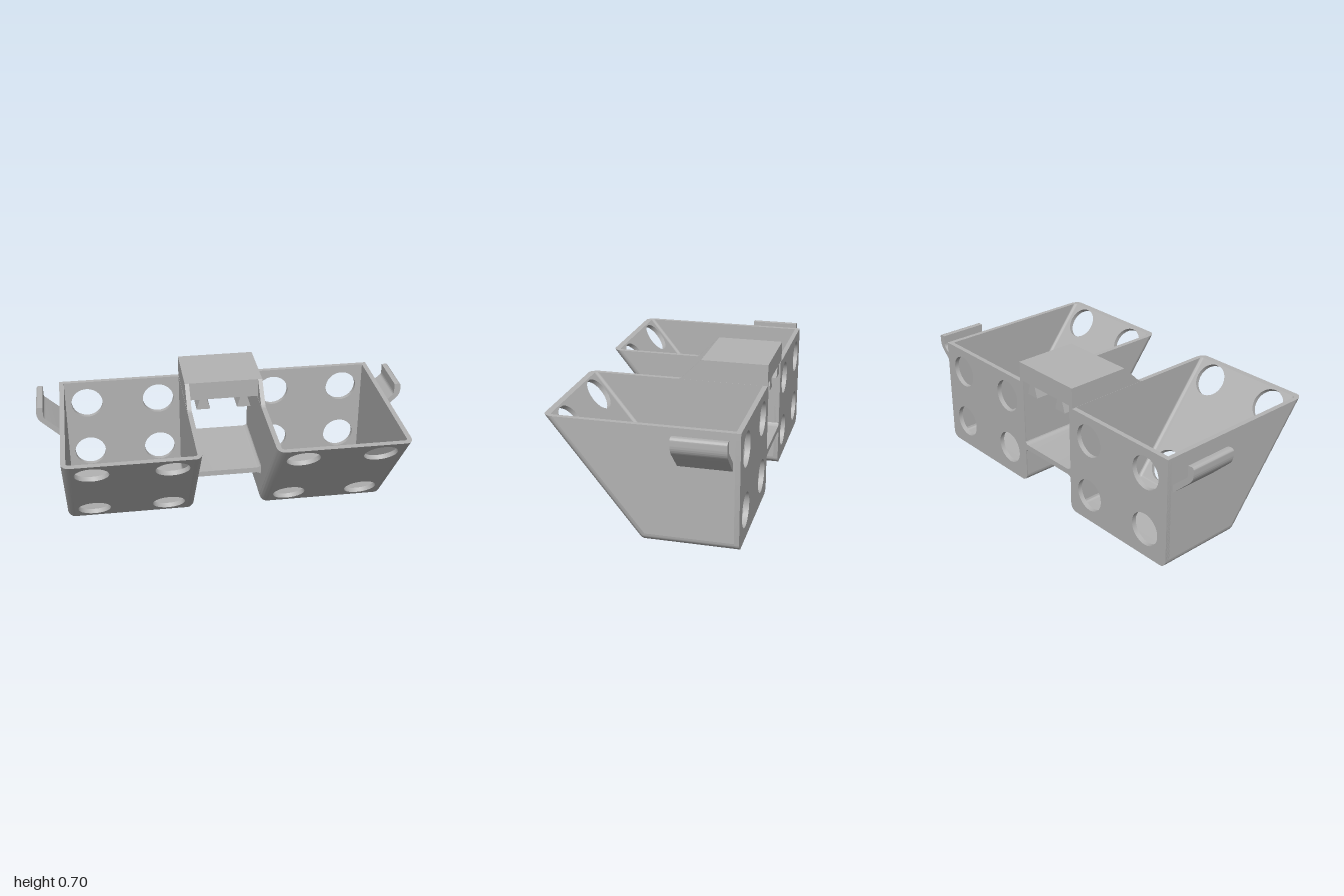
import * as THREE from 'three';
import { toCreasedNormals } from 'three/addons/utils/BufferGeometryUtils.js';

const grey = new THREE.MeshStandardMaterial({ color: 0xb3b3b3 });
grey.name = 'light grey plastic';

// bin measurements: half width, height, back, wall thickness, edge radius, floor-to-slope angle
const W = 0.345, H = 0.59, BACK = -0.47, T = 0.025, R = 0.04, A = 0.898;
const SIN = Math.sin(A), COS = Math.cos(A);
const BEND = { z: -0.015, y: R };
const HOLE_X = 0.2, HOLE_R = 0.087;

function mesh(name, geometry) {
  const m = new THREE.Mesh(toCreasedNormals(geometry, 0.6), grey);
  m.name = name;
  return m;
}

function extrude(shape, depth, z0) {
  return new THREE.ExtrudeGeometry(shape, { depth, bevelEnabled: false, curveSegments: 20 }).translate(0, 0, z0);
}

function polygon(points) {
  return new THREE.Shape(points.map(([x, y]) => new THREE.Vector2(x, y)));
}

// extrude a (z, y) outline along x
function extrudeSide(shape, width, x0) {
  return extrude(shape, width, 0).rotateY(-Math.PI / 2).translate(x0 + width, 0, 0);
}

function addHoles(shape, heights) {
  for (const y of heights) for (const x of [-HOLE_X, HOLE_X]) {
    const hole = new THREE.Path();
    hole.absarc(x, y, HOLE_R, 0, Math.PI * 2, true);
    shape.holes.push(hole);
  }
  return shape;
}

// path along the floor, round the bend and up the slope
function pathStations() {
  const list = [{ z: BACK + 0.015, y: R, a: 0 }];
  for (let i = 0; i <= 6; i++) list.push({ ...BEND, a: A * i / 6 });
  list.push({ ...BEND, a: A, top: true });
  return list;
}

// sweep a closed (x, outward offset) section; the last station is cut level with the rim
function sweep(stations, section) {
  const loop = section.map(([x, o]) => new THREE.Vector2(x, o));
  if (THREE.ShapeUtils.isClockWise(loop)) loop.reverse();
  const rings = stations.map(s => loop.map(p => {
    let z = s.z + Math.sin(s.a) * p.y, y = s.y - Math.cos(s.a) * p.y;
    if (s.top) {
      z += (H - y) * COS / SIN;
      y = H;
    }
    return [p.x, y, z];
  }));
  const pos = [];
  for (let i = 0; i < rings.length - 1; i++) {
    for (let j = 0; j < loop.length; j++) {
      const k = (j + 1) % loop.length;
      const a = rings[i][j], b = rings[i + 1][j], c = rings[i + 1][k], d = rings[i][k];
      pos.push(...a, ...b, ...c, ...a, ...c, ...d);
    }
  }
  const last = rings[rings.length - 1];
  for (const [a, b, c] of THREE.ShapeUtils.triangulateShape(loop, [])) {
    pos.push(...rings[0][a], ...rings[0][b], ...rings[0][c]);
    pos.push(...last[a], ...last[c], ...last[b]);
  }
  const g = new THREE.BufferGeometry();
  g.setAttribute('position', new THREE.Float32BufferAttribute(pos, 3));
  return g;
}

function backWall() {
  const s = new THREE.Shape();
  s.moveTo(-W, H);
  s.lineTo(-W, R);
  s.absarc(-W + R, R, R, Math.PI, Math.PI * 1.5, false);
  s.absarc(W - R, R, R, Math.PI * 1.5, Math.PI * 2, false);
  s.lineTo(W, H);
  return extrude(addHoles(s, [0.46, 0.15]), T, BACK);
}

function slopedFront() {
  const y0 = R - R * COS, length = (H - y0) / SIN, w = W - R;
  const s = polygon([[-w, 0], [w, 0], [w, length], [-w, length]]);
  const g = extrude(addHoles(s, [(0.5 - y0) / SIN, (0.098 - y0) / SIN]), T, -T);
  // cut the top edge level
  const p = g.attributes.position;
  for (let i = 0; i < p.count; i++) {
    if (p.getY(i) > length - 1e-4) p.setY(i, length + p.getZ(i) * COS / SIN);
  }
  return g.rotateX(Math.PI / 2 - A).translate(0, y0, BEND.z + R * SIN);
}

function createBin(name, x) {
  const bin = new THREE.Group();
  bin.name = name;
  bin.position.x = x;
  const stations = pathStations();
  const w = W - R;
  bin.add(mesh('backWall', backWall()), mesh('slopedFront', slopedFront()));
  bin.add(mesh('floor', sweep(stations.slice(0, -1), [[-w, R - T], [w, R - T], [w, R], [-w, R]])));
  const side = polygon([
    [BACK + 0.005, R], [BEND.z, BEND.y],
    [BEND.z + (H - BEND.y) * COS / SIN, H], [BACK + 0.005, H],
  ]);
  for (const sgn of [-1, 1]) {
    bin.add(mesh('sideWall', extrudeSide(side, T, sgn > 0 ? W - T : -W)));
    // rounded edge joining side wall to floor and front
    const ring = [];
    for (let i = 0; i <= 8; i++) {
      const t = Math.PI / 2 * i / 8;
      ring.push([sgn * (w + R * Math.cos(t)), R * Math.sin(t)]);
    }
    for (let i = 8; i >= 0; i--) {
      const t = Math.PI / 2 * i / 8;
      ring.push([sgn * (w + (R - T) * Math.cos(t)), (R - T) * Math.sin(t)]);
    }
    bin.add(mesh('roundedEdge', sweep(stations, ring)));
  }
  return bin;
}

// side hook: slanted arm with an upright rounded tip
function hook(sgn) {
  const s = new THREE.Shape();
  s.moveTo(sgn * 0.87, 0.4);
  s.lineTo(sgn * 0.98, 0.505);
  s.quadraticCurveTo(sgn, 0.525, sgn, 0.555);
  s.lineTo(sgn, 0.575);
  s.quadraticCurveTo(sgn, 0.59, sgn * 0.985, 0.59);
  s.lineTo(sgn * 0.965, 0.588);
  s.lineTo(sgn * 0.965, 0.54);
  s.quadraticCurveTo(sgn * 0.965, 0.527, sgn * 0.955, 0.52);
  s.lineTo(sgn * 0.87, 0.443);
  return extrude(s, 0.26, -0.435);
}

// lower bridge with fillets where it meets the bins
function lowerBridge() {
  const x = 0.19, f = 0.035, top = 0.23, low = 0.2;
  const s = new THREE.Shape();
  s.moveTo(-x, low - f);
  s.quadraticCurveTo(-x, low, -x + f, low);
  s.lineTo(x - f, low);
  s.quadraticCurveTo(x, low, x, low - f);
  s.lineTo(x, top + f);
  s.quadraticCurveTo(x, top, x - f, top);
  s.lineTo(-x + f, top);
  s.quadraticCurveTo(-x, top, -x, top + f);
  return extrude(s, 0.48, BACK);
}

export function createModel() {
  const model = new THREE.Group();
  model.name = 'twinBinHolder';
  model.add(createBin('leftBin', 0.53), createBin('rightBin', -0.53));

  // raised mounting block between the bins
  const block = new THREE.BoxGeometry(0.41, 0.1, 0.345).translate(0, 0.65, BACK + 0.1725);
  model.add(mesh('mountBlock', block));
  const cheek = new THREE.Shape();
  cheek.moveTo(BACK, H - 0.01);
  cheek.lineTo(0, H - 0.01);
  cheek.lineTo(0, H);
  cheek.quadraticCurveTo(-0.015, H, -0.028, 0.603);
  cheek.lineTo(-0.125, 0.7);
  cheek.lineTo(BACK, 0.7);

  for (const sgn of [-1, 1]) {
    model.add(mesh('blockCheek', extrudeSide(cheek, 0.023, sgn > 0 ? 0.186 : -0.209)));
    // dovetail rail under the block
    const cx = sgn * 0.11;
    const rail = polygon([[cx - 0.037, 0.54], [cx + 0.037, 0.54], [cx + 0.018, 0.605], [cx - 0.018, 0.605]]);
    model.add(mesh('dovetailRail', extrude(rail, 0.34, BACK + 0.002)));
    model.add(mesh('sideHook', hook(sgn)));
  }
  model.add(mesh('lowerBridge', lowerBridge()));
  return model;
}
